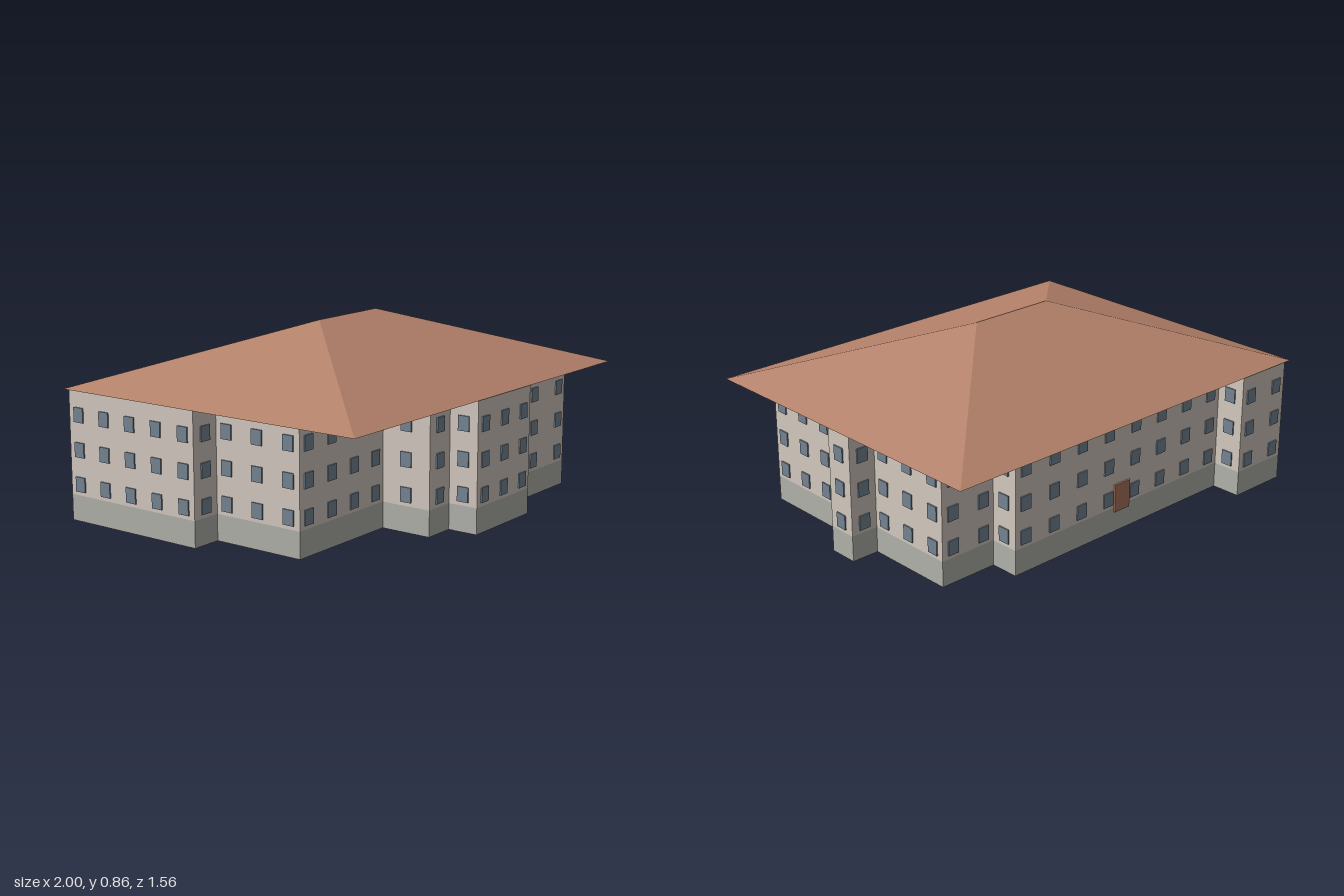
import * as THREE from 'three';
import { ConvexGeometry } from 'three/addons/geometries/ConvexGeometry.js';

const EAVE = 0.585, RIDGE = 0.86, PLINTH = 0.117;

// Building outline as [x, z], running towards +x along the front
const OUTLINE = [
  [-0.84, 0.39], [-0.27, 0.39], [-0.27, 0.63], [-0.12, 0.63], [-0.12, 0.77],
  [0.30, 0.77], [0.30, 0.63], [0.85, 0.63], [0.85, 0.067], [0.98, 0.067],
  [0.98, -0.07], [0.85, -0.07], [0.85, -0.495], [0.57, -0.495], [0.57, -0.628],
  [-0.69, -0.628], [-0.69, -0.767], [-0.98, -0.767], [-0.98, -0.05], [-0.84, -0.05],
];

function material(name, color) {
  const m = new THREE.MeshStandardMaterial({ color });
  m.name = name;
  return m;
}

export function createModel() {
  const group = new THREE.Group();
  const wallMat = material('wall plaster', 0xd6cbc2);
  const plinthMat = material('plinth stone', 0xb4b4ae);
  const glassMat = material('window glass', 0x778695);
  const roofMat = material('roof tile', 0xb5826b);
  const doorMat = material('door wood', 0xb0775f);

  const add = (name, geometry, mat, parent = group) => {
    const mesh = new THREE.Mesh(geometry, mat);
    mesh.name = name;
    parent.add(mesh);
    return mesh;
  };

  // Plinth and walls: the outline extruded in two layers
  const shape = new THREE.Shape(OUTLINE.map(([x, z]) => new THREE.Vector2(x, -z)));
  const layer = (y0, y1) =>
    new THREE.ExtrudeGeometry(shape, { depth: y1 - y0, bevelEnabled: false })
      .rotateX(-Math.PI / 2).translate(0, y0, 0);
  add('plinth', layer(0, PLINTH), plinthMat);
  add('walls', layer(PLINTH, EAVE - 0.003), wallMat);

  // Hipped roof with a flat soffit
  const roofPoints = [[-0.21, RIDGE, 0], [0.21, RIDGE, 0]];
  for (const x of [-1, 1]) for (const z of [-0.782, 0.782]) roofPoints.push([x, EAVE, z]);
  add('roof', new ConvexGeometry(roofPoints.map(p => new THREE.Vector3(...p))), roofMat);

  // Three rows of windows, spaced evenly along every wall
  const windows = new THREE.Group();
  windows.name = 'windows';
  group.add(windows);
  const pane = new THREE.BoxGeometry(0.055, 0.066, 0.009);
  const margin = 0.057, spacing = 0.149;
  OUTLINE.forEach(([x0, z0], i) => {
    const [x1, z1] = OUTLINE[(i + 1) % OUTLINE.length];
    const length = Math.hypot(x1 - x0, z1 - z0);
    const nx = -(z1 - z0) / length, nz = (x1 - x0) / length;
    const count = Math.max(1, Math.floor((length - 2 * margin) / spacing) + 1);
    for (let k = 0; k < count; k++) {
      const t = count === 1 ? 0.5 : (margin + (length - 2 * margin) * k / (count - 1)) / length;
      for (const y of [0.167, 0.321, 0.476]) {
        const w = add('window', pane, glassMat, windows);
        w.position.set(x0 + (x1 - x0) * t + nx * 0.0015, y, z0 + (z1 - z0) * t + nz * 0.0015);
        w.rotation.y = Math.atan2(nx, nz);
      }
    }
  });

  // Back door, in the middle of the long rear wall
  add('door', new THREE.BoxGeometry(0.09, 0.13, 0.0095), doorMat).position.set(-0.06, 0.162, -0.632);

  return group;
}
